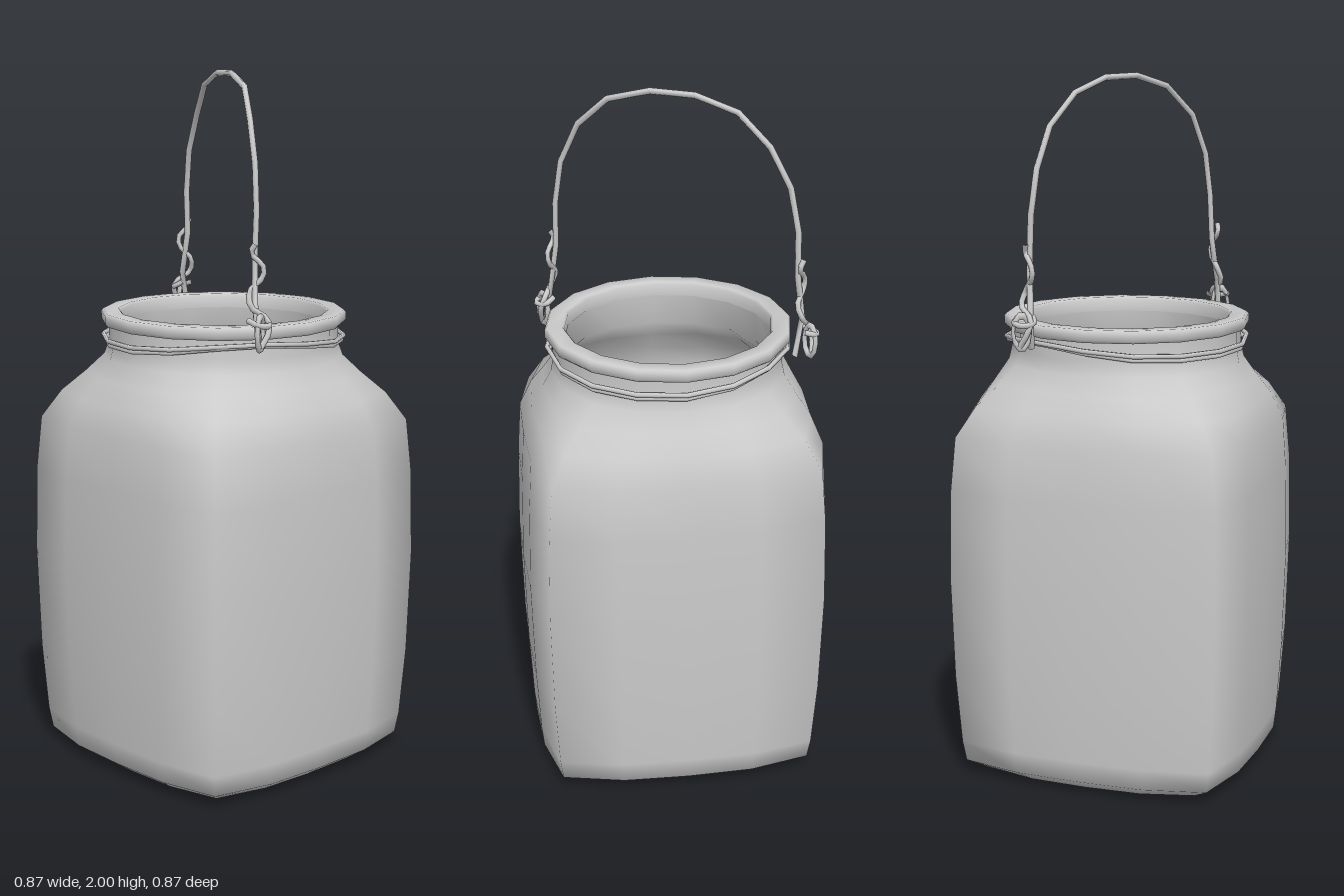
import * as THREE from 'three';
import { toCreasedNormals } from 'three/addons/utils/BufferGeometryUtils.js';

const SIDES = 16;
const grey = new THREE.MeshStandardMaterial({ color: 0xcccccc });

// Corner i of a unit cross-section, blended from circle (0) to bulging square (1)
function corner(i, square) {
  const a = (i / SIDES) * Math.PI * 2;
  const quarter = Math.floor(i / 4) * Math.PI / 2;
  const [u, v] = [[1, 0], [0.99, 0.465], [0.9, 0.9], [0.465, 0.99]][i % 4];
  const x = u * Math.cos(quarter) - v * Math.sin(quarter);
  const z = u * Math.sin(quarter) + v * Math.cos(quarter);
  return [THREE.MathUtils.lerp(Math.cos(a), x, square), THREE.MathUtils.lerp(Math.sin(a), z, square)];
}

// Skin over rings of [height, radius, squareness]
function loft(rings) {
  const pos = [], index = [];
  rings.forEach(([y, r, square]) => {
    for (let i = 0; i < SIDES; i++) {
      const [x, z] = corner(i, square);
      pos.push(x * r, y, z * r);
    }
  });
  for (let k = 0; k < rings.length - 1; k++) {
    for (let i = 0; i < SIDES; i++) {
      const a = k * SIDES + i, b = k * SIDES + (i + 1) % SIDES;
      const c = a + SIDES, d = b + SIDES;
      if (rings[k][1] > 0) index.push(a, d, b);
      if (rings[k + 1][1] > 0) index.push(a, c, d);
    }
  }
  const g = new THREE.BufferGeometry();
  g.setAttribute('position', new THREE.Float32BufferAttribute(pos, 3));
  g.setIndex(index);
  g.computeVertexNormals();
  return g;
}

// Bent wire through points
function wire(points, radius, closed = false, steps = 1) {
  const curve = new THREE.CatmullRomCurve3(points.map(p => new THREE.Vector3(...p)), closed, 'centripetal');
  const g = new THREE.TubeGeometry(curve, points.length * steps, radius, 6, closed);
  return g;
}

export function createModel() {
  const jar = new THREE.Group();
  jar.name = 'jar';
  const add = (name, geometry, parent = jar) => {
    const m = new THREE.Mesh(geometry, grey);
    m.name = name;
    parent.add(m);
    return m;
  };

  // Outer skin, bottom to neck
  const outer = [
    [0.012, 0, 1], [0.01, 0.28, 0.7], [0.004, 0.36, 0.85], [0.04, 0.412, 0.92], [0.1, 0.417, 0.97],
    [0.3, 0.428, 1], [0.6, 0.436, 1], [0.85, 0.431, 1], [1.0, 0.423, 0.95],
    [1.08, 0.396, 0.7], [1.14, 0.364, 0.35], [1.19, 0.338, 0.08], [1.23, 0.331, 0], [1.29, 0.331, 0],
  ];
  add('jarBody', loft(outer));

  // Inner skin, neck down to floor
  const inner = [
    [1.3, 0.297, 0], [1.19, 0.3, 0.08], [1.14, 0.328, 0.35], [1.08, 0.36, 0.7], [1.0, 0.388, 0.95],
    [0.6, 0.4, 1], [0.3, 0.393, 1], [0.1, 0.38, 0.95], [0.05, 0.34, 0.85], [0.04, 0, 1],
  ];
  add('jarInside', loft(inner));

  // Flat lip around the mouth
  const rim = loft([
    [1.285, 0.325, 0], [1.285, 0.346, 0], [1.293, 0.353, 0], [1.314, 0.353, 0],
    [1.321, 0.347, 0], [1.321, 0.303, 0], [1.314, 0.297, 0], [1.28, 0.297, 0],
  ]);
  add('rim', toCreasedNormals(rim, 0.9));

  // Two wire strands round the neck, rising toward the handle knots
  const knotAngle = Math.atan2(0.32, -0.17);
  for (const [radius, lift, rise] of [[0.341, 1.233, 0.035], [0.347, 1.246, 0.026]]) {
    const pts = [];
    for (let i = 0; i < SIDES; i++) {
      const a = (i / SIDES) * Math.PI * 2;
      const y = lift + rise * Math.cos(a - knotAngle) ** 4;
      pts.push([Math.cos(a) * radius, y, Math.sin(a) * radius]);
    }
    add('neckWire', wire(pts, 0.007, true));
  }

  // Arched handle running diagonally over the mouth
  add('handle', wire([
    [-0.175, 1.27, 0.335], [-0.185, 1.33, 0.345], [-0.168, 1.41, 0.305], [-0.16, 1.52, 0.3], [-0.15, 1.7, 0.295],
    [-0.128, 1.85, 0.25], [-0.065, 1.96, 0.155], [0.01, 1.993, 0], [0.08, 1.96, -0.16],
    [0.132, 1.86, -0.26], [0.152, 1.7, -0.328], [0.162, 1.5, -0.337], [0.155, 1.4, -0.345],
    [0.155, 1.33, -0.368], [0.16, 1.26, -0.335],
  ], 0.009, false, 1));

  // Twisted wire end and knot loop at each foot of the handle
  for (const [side, x, z] of [['front', -0.165, 0.305], ['back', 0.16, -0.34]]) {
    const knot = new THREE.Group();
    knot.name = side + 'Knot';
    const s = Math.sign(z);
    const out = (dx, y, dz) => [x + s * dx, y, z + s * dz];
    add('wireEnd', wire([
      out(-0.008, 1.55, 0.012), out(-0.014, 1.525, 0), out(0.012, 1.49, 0.02), out(0.014, 1.46, 0.018),
      out(-0.014, 1.42, -0.004), out(-0.022, 1.38, 0.01), out(0.016, 1.345, 0.035), out(0.01, 1.31, 0.045),
      out(-0.015, 1.27, 0.04),
    ], 0.008, false, 2), knot);
    const loop = add('wireLoop', new THREE.TorusGeometry(0.034, 0.008, 6, 10), knot);
    loop.position.set(x - s * 0.012, 1.31, z + s * 0.035);
    loop.rotation.y = 0.5;
    loop.scale.set(0.7, 1.35, 1);
    add('wireWrap', wire([
      out(-0.035, 1.345, 0.012), out(-0.03, 1.335, 0.045), out(0, 1.33, 0.055),
      out(0.022, 1.335, 0.03), out(0.01, 1.35, 0.005),
    ], 0.008, false, 2), knot);
    jar.add(knot);
  }
  return jar;
}
